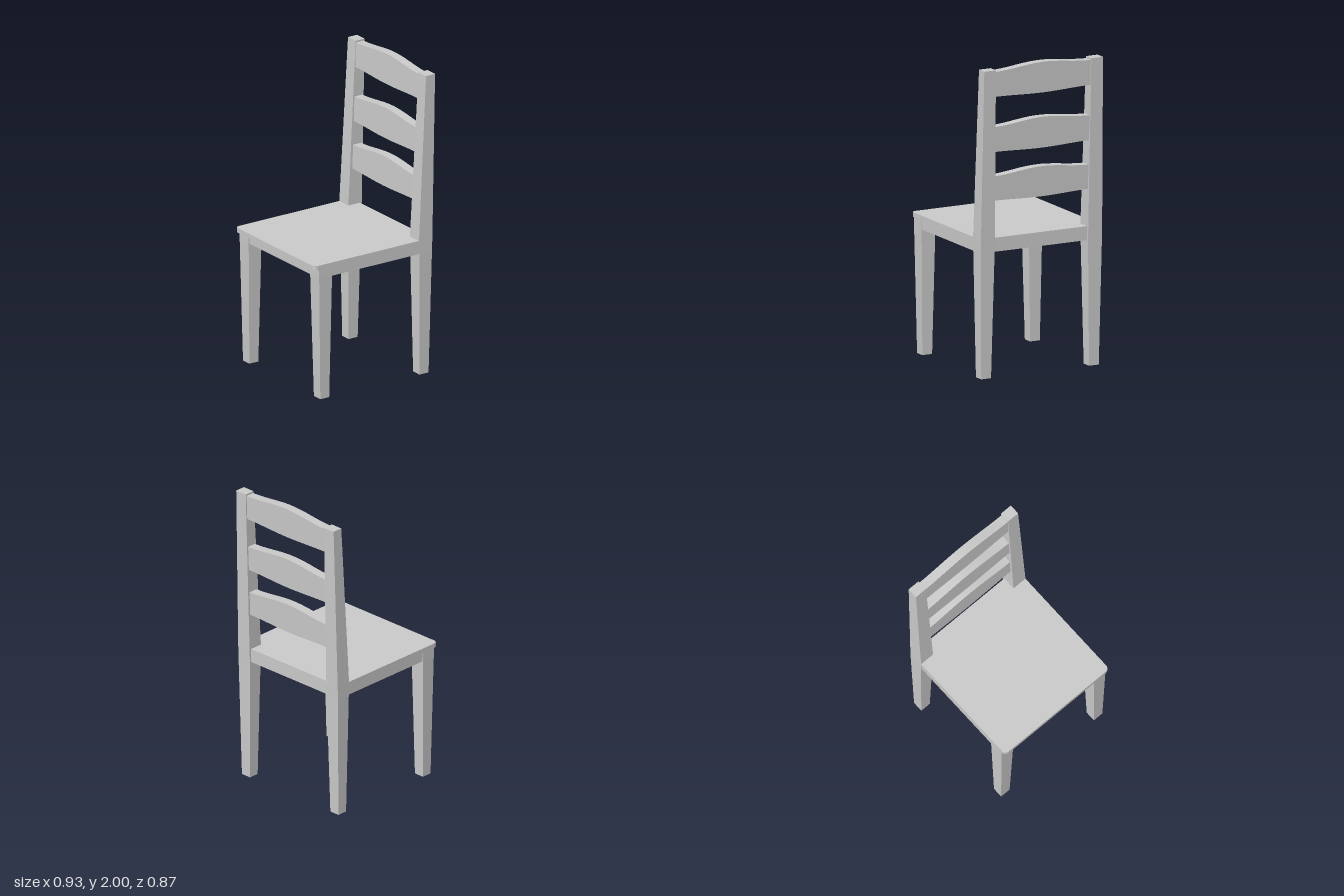
import * as THREE from 'three';

const material = new THREE.MeshStandardMaterial({ color: 0xcccccc });

function addMesh(parent, name, geometry) {
  const mesh = new THREE.Mesh(geometry, material);
  mesh.name = name;
  parent.add(mesh);
  return mesh;
}

// Square post through rectangular sections [y, xMin, xMax, zInner, zOuter]
function postGeometry(sections, side) {
  const rings = sections.map(([y, x0, x1, zi, zo]) => {
    const z0 = Math.min(side * zi, side * zo);
    const z1 = Math.max(side * zi, side * zo);
    return [[x0, y, z0], [x0, y, z1], [x1, y, z1], [x1, y, z0]];
  });
  const points = [];
  const quad = (a, b, c, d) => points.push(...a, ...b, ...c, ...a, ...c, ...d);
  for (let s = 0; s < rings.length - 1; s++) {
    const low = rings[s], high = rings[s + 1];
    for (let i = 0; i < 4; i++) {
      const j = (i + 1) % 4;
      quad(low[i], low[j], high[j], high[i]);
    }
  }
  quad(...rings[rings.length - 1]);
  quad(...[...rings[0]].reverse());
  const geometry = new THREE.BufferGeometry();
  geometry.setAttribute('position', new THREE.Float32BufferAttribute(points, 3));
  geometry.computeVertexNormals();
  return geometry;
}

// Leaning back slat with an arched top and a slightly bowed lower edge
function slatGeometry(bottom, top, rise) {
  const geometry = new THREE.BoxGeometry(1, 1, 0.7, 1, 1, 24);
  const p = geometry.attributes.position;
  for (let i = 0; i < p.count; i++) {
    const z = p.getZ(i);
    const bell = 0.5 + 0.5 * Math.cos(Math.PI * Math.min(1, Math.abs(z) / 0.35));
    const y = p.getY(i) > 0 ? top + rise * bell : bottom - 0.01 * bell;
    const front = 0.363 + (y - 1.13) * 0.037;
    const back = 0.426 + (y - 1.13) * 0.033;
    p.setXYZ(i, p.getX(i) > 0 ? back : front, y, z);
  }
  geometry.computeVertexNormals();
  return geometry;
}

// Seat board with rounded front corners
function seatGeometry() {
  const x0 = -0.465, x1 = 0.42, w = 0.4325, r = 0.03;
  const shape = new THREE.Shape();
  shape.moveTo(x1, -w);
  shape.lineTo(x1, w);
  shape.lineTo(x0 + r, w);
  shape.absarc(x0 + r, w - r, r, Math.PI / 2, Math.PI, false);
  shape.lineTo(x0, -w + r);
  shape.absarc(x0 + r, -w + r, r, Math.PI, Math.PI * 1.5, false);
  shape.closePath();
  const geometry = new THREE.ExtrudeGeometry(shape, { depth: 0.03, bevelEnabled: false, curveSegments: 8 });
  geometry.rotateX(-Math.PI / 2);
  geometry.translate(0, 0.87, 0);
  return geometry;
}

export function createModel() {
  const chair = new THREE.Group();
  chair.name = 'chair';

  // Seat board and the solid frame under it
  addMesh(chair, 'seat', seatGeometry());
  const frame = addMesh(chair, 'seatFrame', new THREE.BoxGeometry(0.845, 0.06, 0.858));
  frame.position.set(-0.0025, 0.84, 0);

  // Tapered front legs and leaning back posts
  for (const side of [1, -1]) {
    const label = side > 0 ? 'Left' : 'Right';
    addMesh(chair, 'frontLeg' + label, postGeometry([
      [0, -0.413, -0.345, 0.35, 0.42],
      [0.81, -0.43, -0.332, 0.334, 0.432],
      [0.87, -0.43, -0.332, 0.334, 0.432],
    ], side));
    addMesh(chair, 'backPost' + label, postGeometry([
      [0, 0.345, 0.414, 0.35, 0.42],
      [0.81, 0.334, 0.431, 0.334, 0.433],
      [0.9, 0.332, 0.434, 0.334, 0.433],
      [1.985, 0.392, 0.461, 0.341, 0.424],
    ], side));
  }

  // Back slats: lower edge, upper edge at the ends, rise of the arch
  const slats = [[1.14, 1.297, 0.028], [1.455, 1.616, 0.028], [1.812, 1.973, 0.027]];
  slats.forEach(([bottom, top, rise], i) => {
    addMesh(chair, 'backSlat' + (i + 1), slatGeometry(bottom, top, rise));
  });

  return chair;
}
